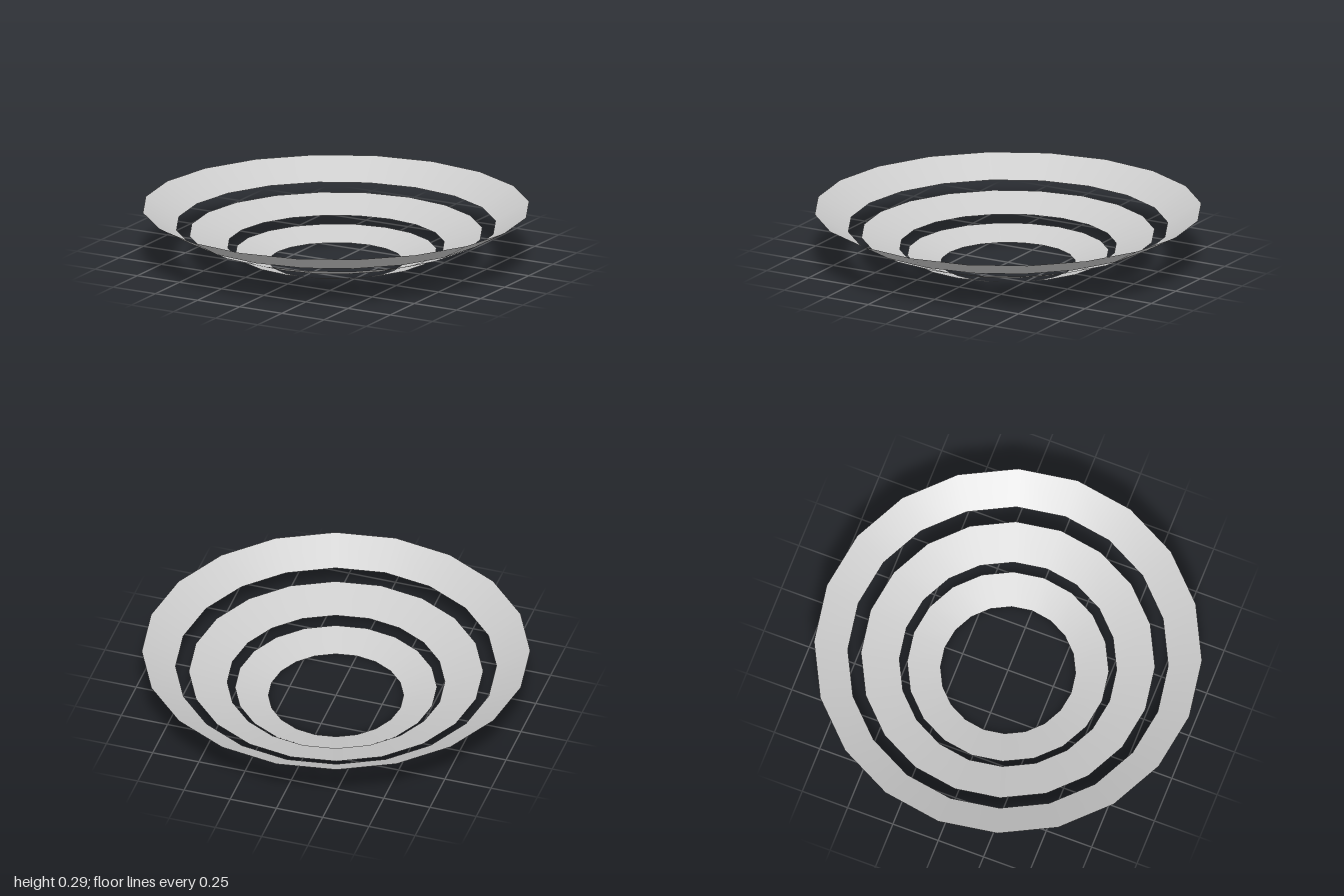
import * as THREE from 'three';

const SIDES = 20;

// Each ring: name, top radius, bottom radius, bottom y, top y
const RINGS = [
  ['outerRing', 1.0, 0.826, 0.19, 0.288],
  ['middleRing', 0.758, 0.56, 0.087, 0.156],
  ['innerRing', 0.52, 0.348, 0, 0.053],
];

export function createModel() {
  const model = new THREE.Group();
  model.name = 'concentricRings';
  const material = new THREE.MeshStandardMaterial({ color: 0xcccccc, side: THREE.DoubleSide });

  // Thin open conical bands, stepping up and outward like a bowl
  for (const [name, topRadius, bottomRadius, y0, y1] of RINGS) {
    const band = new THREE.CylinderGeometry(topRadius, bottomRadius, y1 - y0, SIDES, 1, true);
    const mesh = new THREE.Mesh(band, material);
    mesh.name = name;
    mesh.position.y = (y0 + y1) / 2;
    model.add(mesh);
  }
  return model;
}
